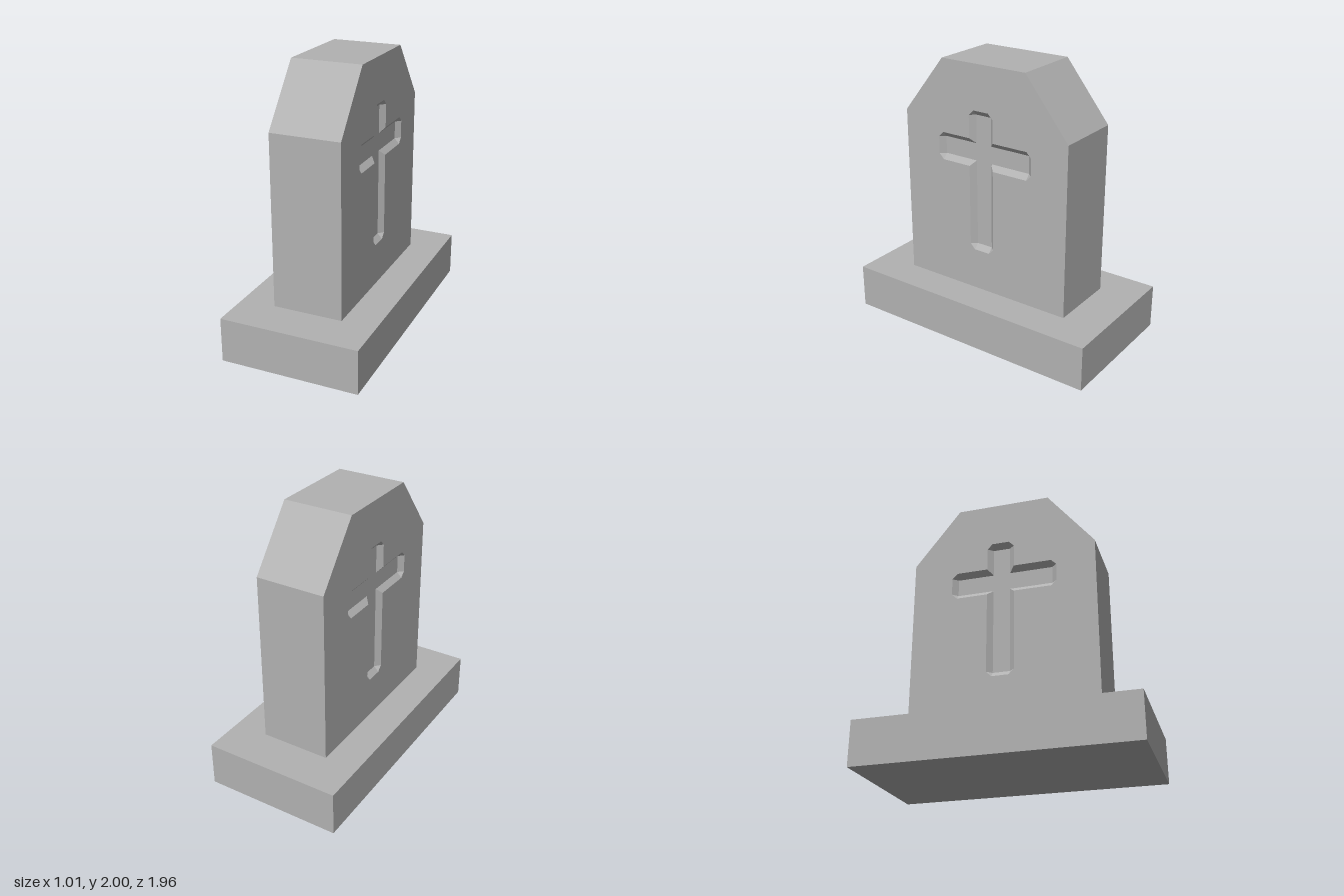
import * as THREE from 'three';

const BASE_H = 0.325;  // plinth height
const HALF_T = 0.255;  // half thickness of the headstone
const DEPTH = 0.035;   // depth of the carved cross
const BEVEL = 0.038;   // width of the carving's sloped sides

// Headstone outline, counter-clockwise
const PROFILE = [
  [-0.675, BASE_H], [0.675, BASE_H], [0.675, 1.58],
  [0.34, 2], [-0.34, 2], [-0.675, 1.58],
];

// Floor of the carved cross, counter-clockwise
const CROSS = [
  [-0.08, 0.67], [0.043, 0.67], [0.043, 1.305], [0.355, 1.305],
  [0.355, 1.432], [0.043, 1.432], [0.043, 1.637], [-0.08, 1.637],
  [-0.08, 1.432], [-0.346, 1.432], [-0.346, 1.305], [-0.08, 1.305],
];

const toVectors = (points) => points.map(([x, y]) => new THREE.Vector2(x, y));

// Flat-faced band between two matching loops lying at depths za and zb
function band(loopA, za, loopB, zb) {
  const triangles = [];
  const count = loopA.length;
  for (let i = 0; i < count; i++) {
    const j = (i + 1) % count;
    const a = [loopA[i].x, loopA[i].y, za], b = [loopA[j].x, loopA[j].y, za];
    const c = [loopB[j].x, loopB[j].y, zb], d = [loopB[i].x, loopB[i].y, zb];
    triangles.push(...a, ...b, ...c);
    if (!loopB[i].equals(loopB[j])) triangles.push(...a, ...c, ...d);
  }
  const geometry = new THREE.BufferGeometry();
  geometry.setAttribute('position', new THREE.Float32BufferAttribute(triangles, 3));
  geometry.computeVertexNormals();
  return geometry;
}

// Widen the cross floor to its rim; outer corners are cut off, inner ones stay sharp
function crossLoops() {
  const points = toVectors(CROSS);
  const rim = [], floor = [];
  const outward = (from, to) => {
    const d = to.clone().sub(from).normalize();
    return new THREE.Vector2(d.y, -d.x).multiplyScalar(BEVEL);
  };
  points.forEach((p, i) => {
    const before = outward(points.at(i - 1), p);
    const after = outward(p, points[(i + 1) % points.length]);
    if (before.cross(after) > 0) {
      rim.push(p.clone().add(before), p.clone().add(after));
      floor.push(p, p);
    } else {
      rim.push(p.clone().add(before).add(after));
      floor.push(p);
    }
  });
  return { points, rim, floor };
}

export function createModel() {
  const stone = new THREE.MeshStandardMaterial({ color: 0xb2b2b2 });
  stone.name = 'grey stone';
  const model = new THREE.Group();
  model.name = 'gravestone';

  const addPart = (parent, name, geometry) => {
    const mesh = new THREE.Mesh(geometry, stone);
    mesh.name = name;
    parent.add(mesh);
    return mesh;
  };

  // Plinth
  addPart(model, 'plinth', new THREE.BoxGeometry(1.01, BASE_H, 1.955))
    .position.y = BASE_H / 2;

  // Headstone edge: sides, slopes and top
  const profile = toVectors(PROFILE);
  addPart(model, 'headstoneEdge', band(profile, -HALF_T, profile, HALF_T))
    .rotation.y = Math.PI / 2;

  // Two broad faces, each with a sunken bevelled cross
  const { points, rim, floor } = crossLoops();
  for (const side of [1, -1]) {
    const face = new THREE.Group();
    face.name = side > 0 ? 'leftFace' : 'rightFace';
    face.rotation.y = side * Math.PI / 2;

    const slab = new THREE.Shape(profile);
    slab.holes.push(new THREE.Path(rim));
    addPart(face, 'headstoneFace', new THREE.ShapeGeometry(slab)).position.z = HALF_T;
    addPart(face, 'crossBevel', band(rim, HALF_T, floor, HALF_T - DEPTH));
    addPart(face, 'crossFloor', new THREE.ShapeGeometry(new THREE.Shape(points)))
      .position.z = HALF_T - DEPTH;
    model.add(face);
  }
  return model;
}
